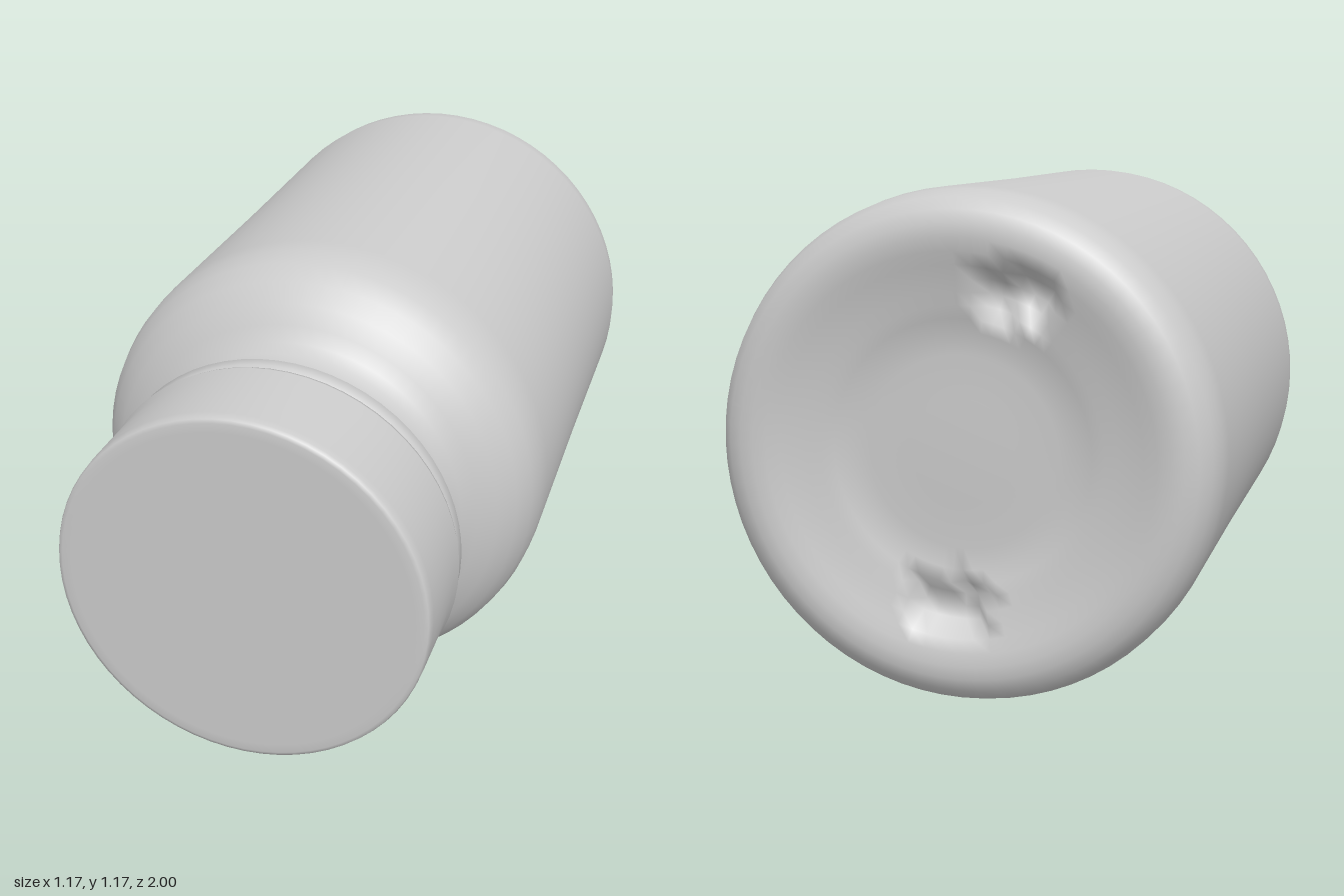
import * as THREE from 'three';
import { mergeVertices } from 'three/addons/utils/BufferGeometryUtils.js';

const material = new THREE.MeshStandardMaterial({ color: 0xcccccc });

// Turns a [radius, z] profile, listed from back to front, around the z axis.
function turned(name, profile, x, segments = 64) {
  const points = profile.map(([r, z]) => new THREE.Vector2(r, z));
  const geometry = new THREE.LatheGeometry(points, segments).rotateX(Math.PI / 2);
  const mesh = new THREE.Mesh(geometry, material);
  mesh.name = name;
  mesh.position.set(x, 0.59, 0);
  return mesh;
}

// Presses a small rectangular notch into the base of the bottle.
function pressNotch(geometry, cx, cy) {
  const p = geometry.attributes.position;
  for (let i = 0; i < p.count; i++) {
    if (p.getZ(i) > -0.9 || Math.abs(p.getX(i) - cx) > 0.09) continue;
    if (Math.abs(p.getY(i) - cy) < 0.05) p.setZ(i, -0.925);
  }
}

export function createModel() {
  const group = new THREE.Group();
  group.name = 'bottle';

  // Body: dished base, rounded heel, straight wall, shoulder and neck
  const body = turned('body', [
    [0, -0.945], [0.12, -0.943], [0.22, -0.94], [0.27, -0.945], [0.3, -0.955],
    [0.33, -0.962], [0.36, -0.968], [0.39, -0.975], [0.42, -0.983], [0.45, -0.992],
    [0.48, -0.998], [0.51, -0.996], [0.54, -0.985], [0.565, -0.96], [0.58, -0.92],
    [0.585, -0.87], [0.583, -0.3], [0.585, 0.28], [0.581, 0.34], [0.568, 0.395],
    [0.54, 0.445], [0.5, 0.485], [0.455, 0.513], [0.42, 0.535], [0.4, 0.56],
    [0.39, 0.6], [0.39, 0.7],
  ], 0, 72);
  pressNotch(body.geometry, -0.13, 0.35);
  pressNotch(body.geometry, 0.03, -0.35);
  body.geometry.deleteAttribute('uv');
  body.geometry.deleteAttribute('normal');
  body.geometry = mergeVertices(body.geometry);
  body.geometry.computeVertexNormals();
  group.add(body);

  // Tamper ring below the cap
  group.add(turned('tamperRing', [
    [0.37, 0.67], [0.405, 0.672], [0.43, 0.68], [0.446, 0.692],
    [0.44, 0.71], [0.434, 0.74], [0.41, 0.745],
  ], 0.012));

  // Cap: slightly tapered skirt with a tight bevel and a flat face
  group.add(turned('cap', [
    [0.38, 0.735], [0.435, 0.736], [0.448, 0.742], [0.452, 0.755], [0.447, 0.79],
    [0.446, 0.97], [0.445, 0.988], [0.441, 0.996], [0.432, 0.999], [0.41, 1], [0, 1],
  ], 0.015));

  return group;
}
